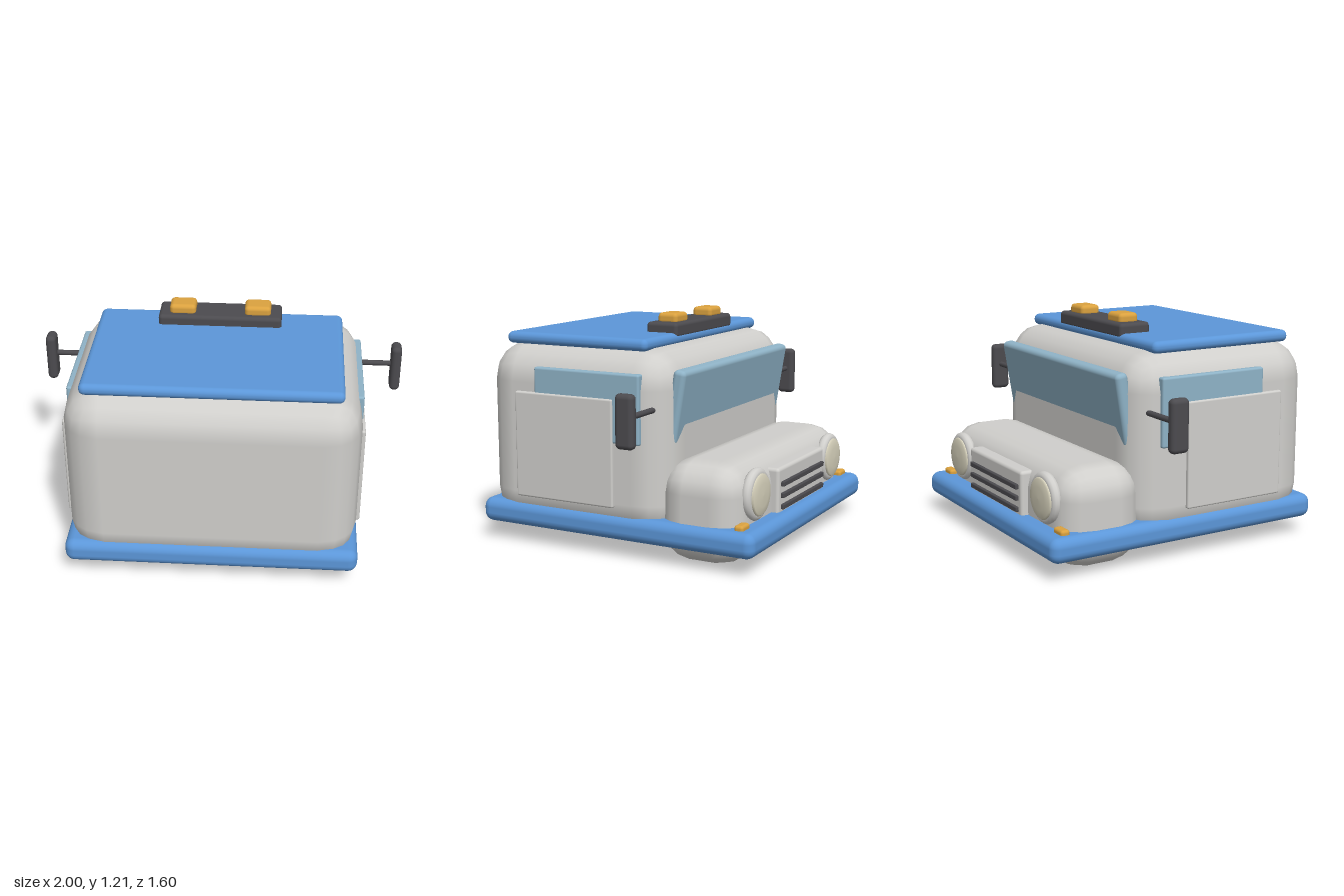
import * as THREE from 'three';
import { RoundedBoxGeometry } from 'three/addons/geometries/RoundedBoxGeometry.js';

const paint = (name, color) => {
  const m = new THREE.MeshStandardMaterial({ color });
  m.name = name;
  return m;
};

export function createModel() {
  const group = new THREE.Group();
  group.name = 'truckCab';
  const body = paint('light grey', 0xd0cfcc);
  const blue = paint('blue', 0x5c97d9);
  const glass = paint('glass blue', 0x8fb3c7);
  const dark = paint('dark grey', 0x4c4b4f);
  const amber = paint('amber', 0xdba23f);
  const lensMat = paint('cream', 0xd8d3bd);

  const add = (name, geometry, material, x = 0, y = 0, z = 0) => {
    const mesh = new THREE.Mesh(geometry, material);
    mesh.name = name;
    mesh.position.set(x, y, z);
    group.add(mesh);
    return mesh;
  };
  // Rounded box given by its extents on each axis
  const box = (name, material, [x0, x1], [y0, y1], [z0, z1], radius, segments = 3) =>
    add(name, new RoundedBoxGeometry(x1 - x0, y1 - y0, z1 - z0, segments, radius), material,
      (x0 + x1) / 2, (y0 + y1) / 2, (z0 + z1) / 2);

  // Main volumes; the windscreen end points to -z
  box('cab', body, [-0.755, 0.755], [0.088, 1.072], [-0.327, 0.785], 0.2, 2);
  box('hood', body, [-0.72, 0.72], [0.003, 0.527], [-0.7, -0.232], 0.16, 2);
  box('basePlate', blue, [-0.765, 0.765], [0.095, 0.225], [-0.8, 0.8], 0.05);
  box('roof', blue, [-0.655, 0.655], [1.055, 1.118], [-0.16, 0.69], 0.03);

  // Light bar and beacons
  box('lightBar', dark, [-0.328, 0.328], [1.09, 1.17], [-0.158, 0.025], 0.02);
  for (const x of [-0.2, 0.2])
    box('beacon', amber, [x - 0.07, x + 0.07], [1.155, 1.215], [-0.125, -0.01], 0.022);

  // Windscreen, leaning outward at the top
  const screen = add('windscreen', new RoundedBoxGeometry(1.28, 0.385, 0.07, 3, 0.025), glass, 0, 0.783, -0.307);
  screen.rotation.x = -0.165;

  // Grille with slats
  box('grilleFrame', body, [-0.31, 0.31], [0.17, 0.455], [-0.738, -0.64], 0.018);
  for (const y of [0.25, 0.31, 0.37])
    box('grilleSlat', dark, [-0.278, 0.278], [y - 0.013, y + 0.013], [-0.755, -0.715], 0.005, 1);

  // Slightly domed headlight lens
  const lensGeo = new THREE.LatheGeometry([
    [0.108, -0.04], [0.108, 0.026], [0.1, 0.035], [0.06, 0.041], [0, 0.043],
  ].map(([r, h]) => new THREE.Vector2(r, h)), 32);
  lensGeo.rotateX(-Math.PI / 2);
  const rimGeo = new THREE.TorusGeometry(0.107, 0.028, 12, 32);
  const armGeo = new THREE.CylinderGeometry(0.015, 0.015, 0.26, 12).rotateZ(Math.PI / 2);

  // Paired parts on both sides
  for (const s of [-1, 1]) {
    const span = (a, b) => (s > 0 ? [a, b] : [-b, -a]);
    box('sideWindow', glass, span(0.7, 0.765), [0.6, 0.957], [-0.18, 0.442], 0.012);
    box('door', body, span(0.71, 0.775), [0.268, 0.825], [-0.03, 0.557], 0.01);
    add('mirrorArm', armGeo, dark, s * 0.84, 0.78, -0.232);
    box('mirror', dark, span(0.943, 1), [0.63, 0.9], [-0.28, -0.178], 0.025);
    add('headlightRim', rimGeo, body, s * 0.492, 0.36, -0.692);
    add('headlightLens', lensGeo, lensMat, s * 0.492, 0.36, -0.695);
    box('turnSignal', amber, span(0.62, 0.71), [0.205, 0.25], [-0.725, -0.675], 0.015);
  }
  return group;
}
